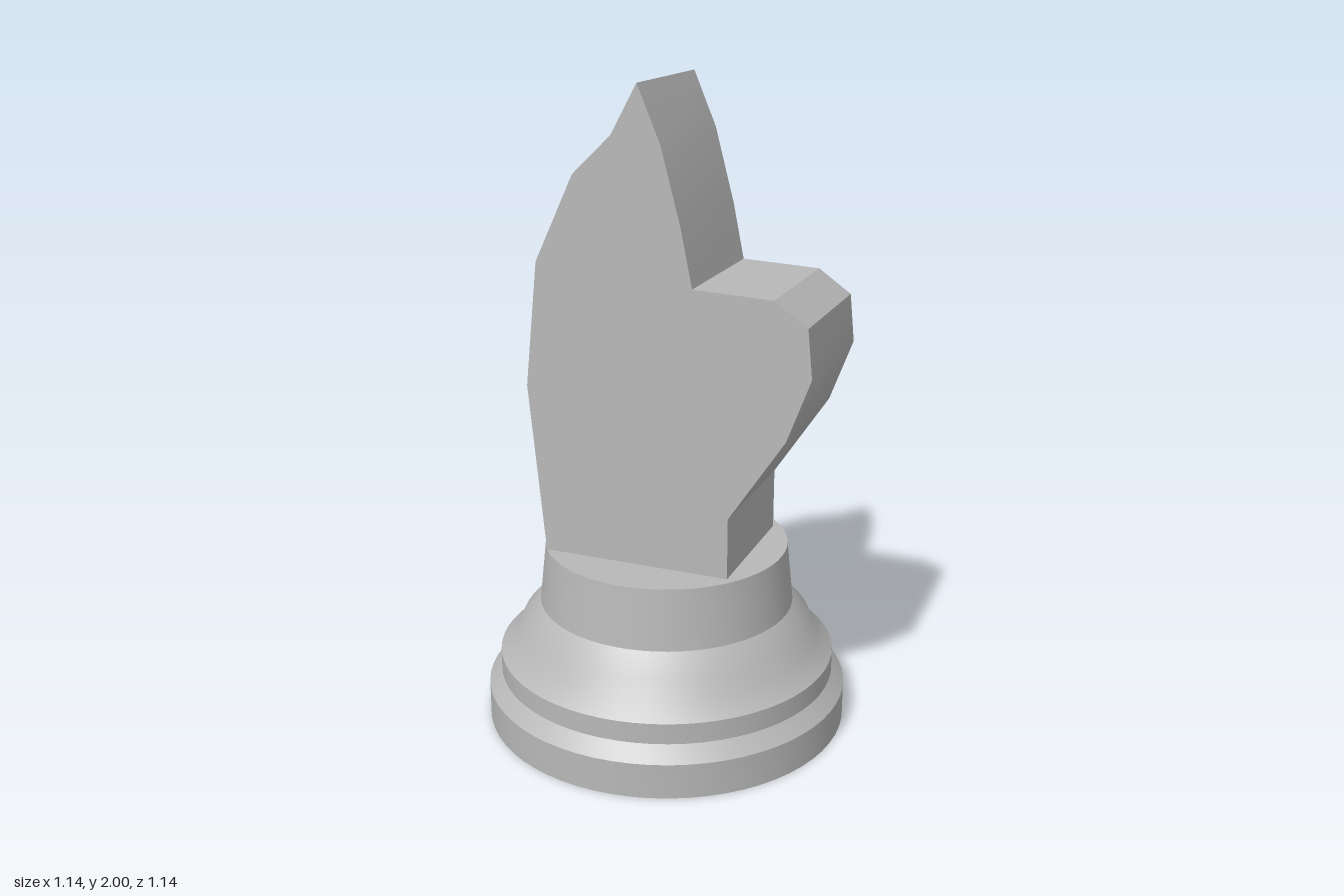
import * as THREE from 'three';
import { toCreasedNormals } from 'three/addons/utils/BufferGeometryUtils.js';

const CREASE = THREE.MathUtils.degToRad(30);

export function createModel() {
  const group = new THREE.Group();
  group.name = 'chessKnight';
  const grey = new THREE.MeshStandardMaterial({ color: 0xb8b8b8 });
  grey.name = 'grey';

  const add = (name, geometry) => {
    const mesh = new THREE.Mesh(toCreasedNormals(geometry, CREASE), grey);
    mesh.name = name;
    group.add(mesh);
  };
  const points = (list) => list.map(([x, y]) => new THREE.Vector2(x, y));

  // Turned pedestal: foot, ring, cove and tapered collar
  add('pedestal', new THREE.LatheGeometry(points([
    [0, 0], [0.57, 0], [0.57, 0.11], [0.53, 0.155], [0.53, 0.22],
    [0.478, 0.27], [0.457, 0.32], [0.4, 0.385], [0.38, 0.575], [0, 0.575],
  ]), 64));

  // Horse head: side silhouette with muzzle towards +x, cut from a thick slab
  const outline = new THREE.Shape(points([
    [-0.31, 0.57], [0.28, 0.57], [0.28, 0.765], [0.45, 1.025], [0.52, 1.215],
    [0.505, 1.36], [0.405, 1.43], [0.165, 1.44], [0.13, 1.61], [0.07, 1.835],
    [0, 2], [-0.08, 1.855], [-0.2, 1.74], [-0.322, 1.48], [-0.362, 1.1],
  ]));
  const depth = 0.44;
  const head = new THREE.ExtrudeGeometry(outline, { depth, bevelEnabled: false });
  head.translate(0, 0, -depth / 2);
  add('horseHead', head);

  return group;
}
